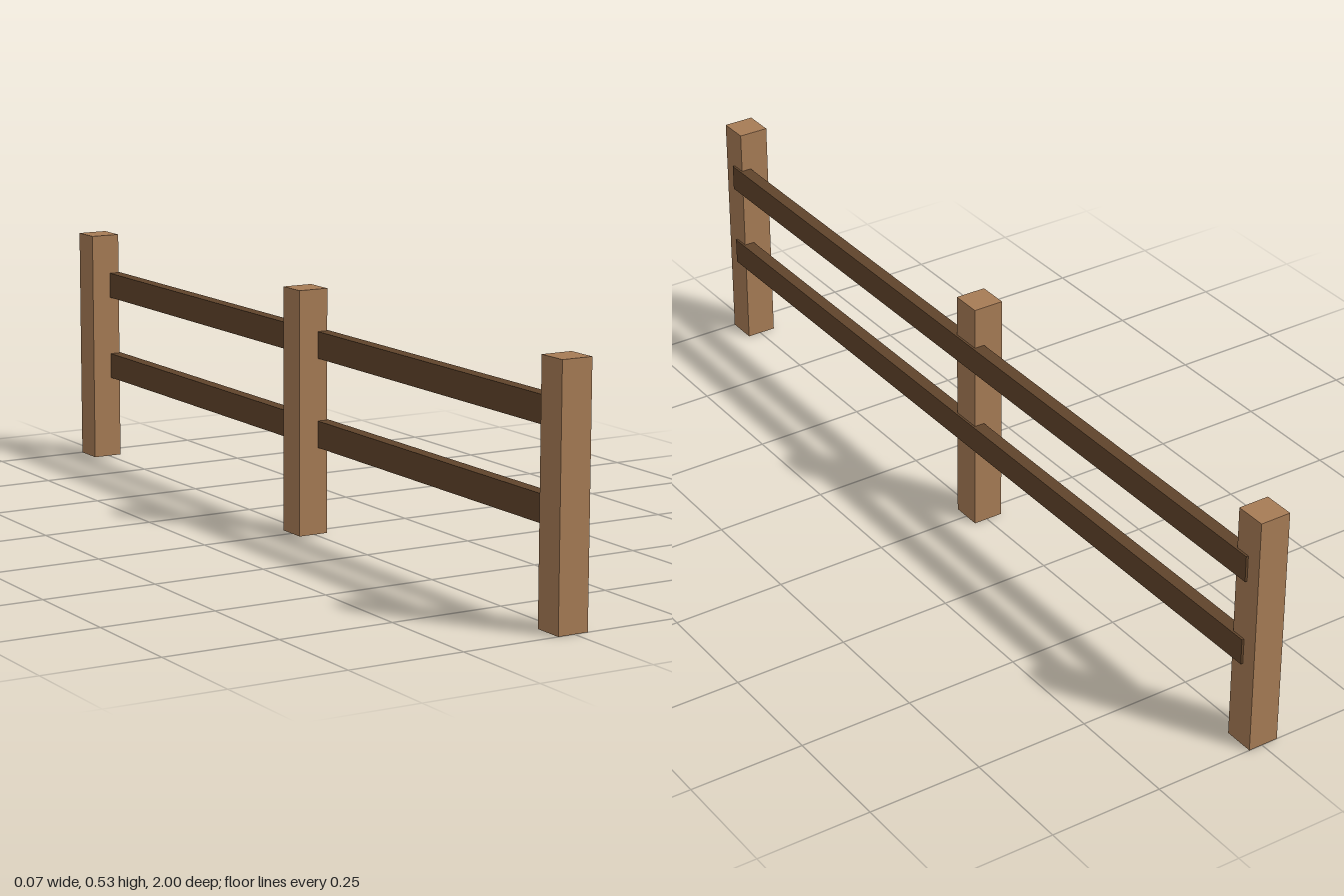
import * as THREE from 'three';

export function createModel() {
  const group = new THREE.Group();
  group.name = 'fence';

  const postWood = new THREE.MeshStandardMaterial({ color: 0xa67b55 });
  postWood.name = 'light wood';
  const railWood = new THREE.MeshStandardMaterial({ color: 0x60442b });
  railWood.name = 'dark wood';

  const addBox = (name, material, size, position) => {
    const mesh = new THREE.Mesh(new THREE.BoxGeometry(...size), material);
    mesh.name = name;
    mesh.position.set(...position);
    group.add(mesh);
  };

  // Three square posts in a row
  const postWidth = 0.068, postHeight = 0.531, postX = -0.003;
  const endZ = 1 - postWidth / 2;
  [['frontPost', endZ], ['middlePost', 0], ['backPost', -endZ]].forEach(([name, z]) =>
    addBox(name, postWood, [postWidth, postHeight, postWidth], [postX, postHeight / 2, z]));

  // Two long rails, let into the posts and standing slightly proud of them
  [['lowerRail', 0.218], ['upperRail', 0.411]].forEach(([name, y]) =>
    addBox(name, railWood, [0.028, 0.058, 2 * endZ], [0.022, y, 0]));

  return group;
}
